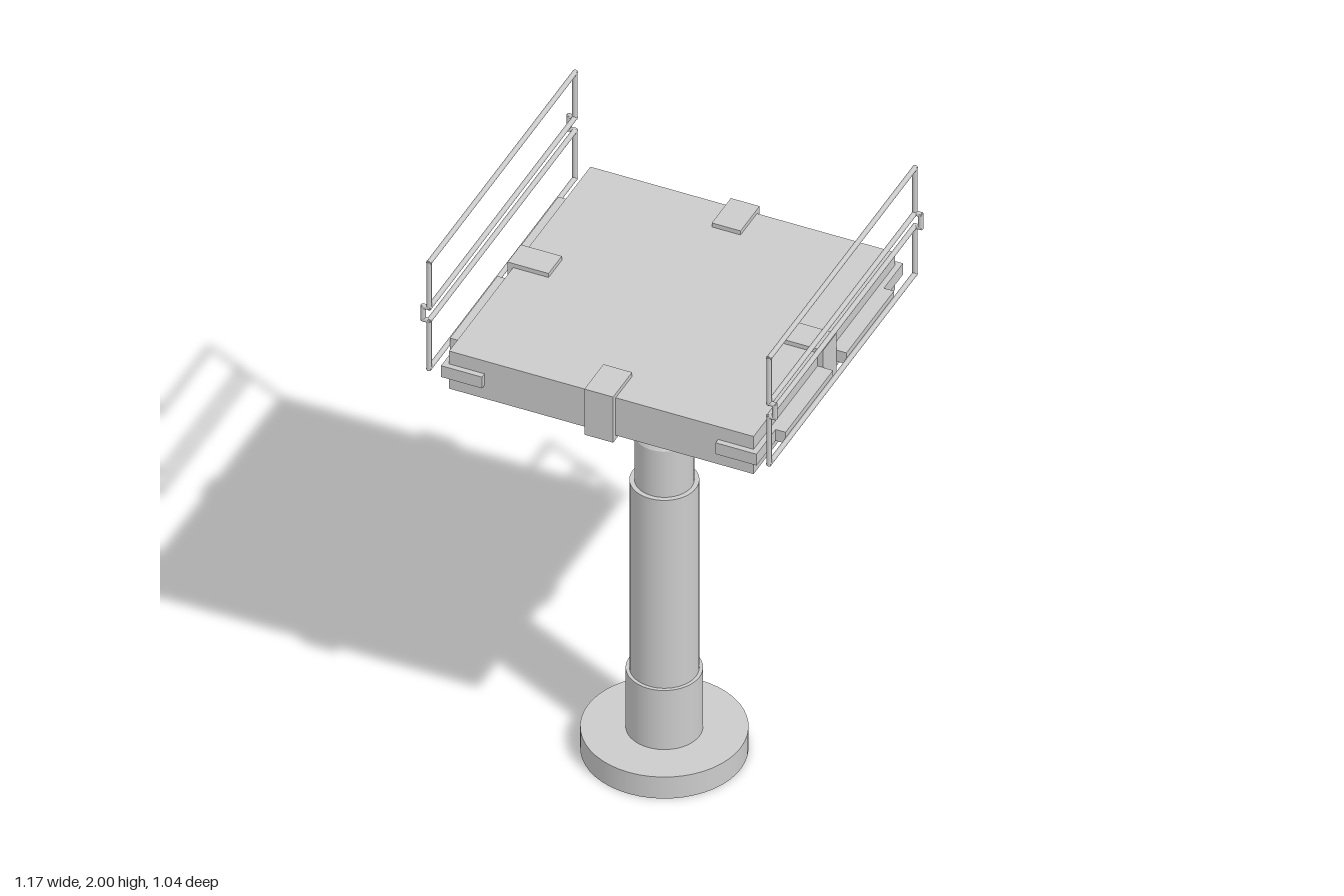
import * as THREE from 'three';

const material = new THREE.MeshStandardMaterial({ color: 0xcccccc });
const doubleSided = new THREE.MeshStandardMaterial({ color: 0xcccccc, side: THREE.DoubleSide });

function add(parent, name, geometry, mat = material) {
  const mesh = new THREE.Mesh(geometry, mat);
  mesh.name = name;
  parent.add(mesh);
  return mesh;
}

// Box given by its minimum and maximum corners
function box(parent, name, [x0, y0, z0], [x1, y1, z1]) {
  const mesh = add(parent, name, new THREE.BoxGeometry(x1 - x0, y1 - y0, z1 - z0));
  mesh.position.set((x0 + x1) / 2, (y0 + y1) / 2, (z0 + z1) / 2);
}

// Upright cylinder between two heights
function drum(parent, name, radius, y0, y1, topRadius = radius) {
  const mesh = add(parent, name, new THREE.CylinderGeometry(topRadius, radius, y1 - y0, 48));
  mesh.position.y = (y0 + y1) / 2;
}

// Thin round bar between two points
function bar(parent, name, from, to, radius = 0.008) {
  const a = new THREE.Vector3(...from), b = new THREE.Vector3(...to);
  const dir = b.clone().sub(a);
  const length = dir.length();
  const mesh = add(parent, name, new THREE.CylinderGeometry(radius, radius, length + radius, 12));
  mesh.position.copy(a).add(b).multiplyScalar(0.5);
  mesh.quaternion.setFromUnitVectors(new THREE.Vector3(0, 1, 0), dir.normalize());
}

function createPedestal() {
  const pedestal = new THREE.Group();
  pedestal.name = 'pedestal';
  pedestal.position.x = -0.025;
  drum(pedestal, 'base', 0.25, 0, 0.08);
  drum(pedestal, 'lowerCollar', 0.115, 0.08, 0.3);
  drum(pedestal, 'column', 0.104, 0.3, 1.0);
  drum(pedestal, 'neck', 0.089, 1.0, 1.17);
  drum(pedestal, 'neckShoulder', 0.089, 1.17, 1.19, 0.078);

  // Flared head under the platform
  const profile = [[0.076, 1.18], [0.087, 1.23], [0.108, 1.32], [0.118, 1.365], [0.12, 1.4], [0.12, 1.54]];
  add(pedestal, 'head', new THREE.LatheGeometry(profile.map(p => new THREE.Vector2(...p)), 48), doubleSided);

  // Triangular braces before and behind the head
  const triangle = new THREE.Shape([[-0.152, 1.535], [0, 1.315], [0.152, 1.535]].map(p => new THREE.Vector2(...p)));
  for (const z of [0.123, -0.207]) {
    const brace = add(pedestal, 'brace', new THREE.ExtrudeGeometry(triangle, { depth: 0.084, bevelEnabled: false }));
    brace.position.z = z;
  }
  return pedestal;
}

function createPlatform() {
  const platform = new THREE.Group();
  platform.name = 'platform';
  box(platform, 'slab', [-0.498, 1.53, -0.498], [0.498, 1.67, 0.498]);

  const inner = 0.382, outer = 0.516, half = 0.047;
  for (const s of [-1, 1]) {
    const lo = Math.min(s * inner, s * outer), hi = Math.max(s * inner, s * outer);
    // Clips wrapping the middle of each edge
    box(platform, 'edgeClip', [-half, 1.515, lo], [half, 1.685, hi]);
    box(platform, 'edgeClip', [lo, 1.515, -half], [hi, 1.685, half]);
    for (const t of [-1, 1]) {
      const zs = [t * inner, t * outer].sort((a, b) => a - b);
      box(platform, 'cornerBlock', [lo, 1.58, zs[0]], [hi, 1.622, zs[1]]);
      // Side strips that carry the railings
      const xs = [s * 0.47, s * 0.549].sort((a, b) => a - b);
      const strip = [t * half, t * inner].sort((a, b) => a - b);
      box(platform, 'sideStrip', [xs[0], 1.58, strip[0]], [xs[1], 1.622, strip[1]]);
    }
  }
  return platform;
}

function createRailing(side) {
  const railing = new THREE.Group();
  railing.name = side > 0 ? 'leftRailing' : 'rightRailing';
  const x = side * 0.556, out = side * 0.575, z = 0.514;
  const [bottom, lowerMid, upperMid, top] = [1.598, 1.776, 1.824, 1.992];
  for (const y of [bottom, lowerMid, upperMid, top]) bar(railing, 'rail', [x, y, -z], [x, y, z]);
  for (const e of [-z, z]) {
    bar(railing, 'lowerPost', [x, bottom, e], [x, lowerMid, e]);
    bar(railing, 'upperPost', [x, upperMid, e], [x, top, e]);
    // Offset link joining the two frames
    bar(railing, 'linkArm', [x, lowerMid, e], [out, lowerMid, e]);
    bar(railing, 'linkArm', [x, upperMid, e], [out, upperMid, e]);
    bar(railing, 'link', [out, lowerMid, e], [out, upperMid, e]);
  }
  return railing;
}

export function createModel() {
  const model = new THREE.Group();
  model.name = 'raisedPlatform';
  model.add(createPedestal(), createPlatform(), createRailing(1), createRailing(-1));
  return model;
}
